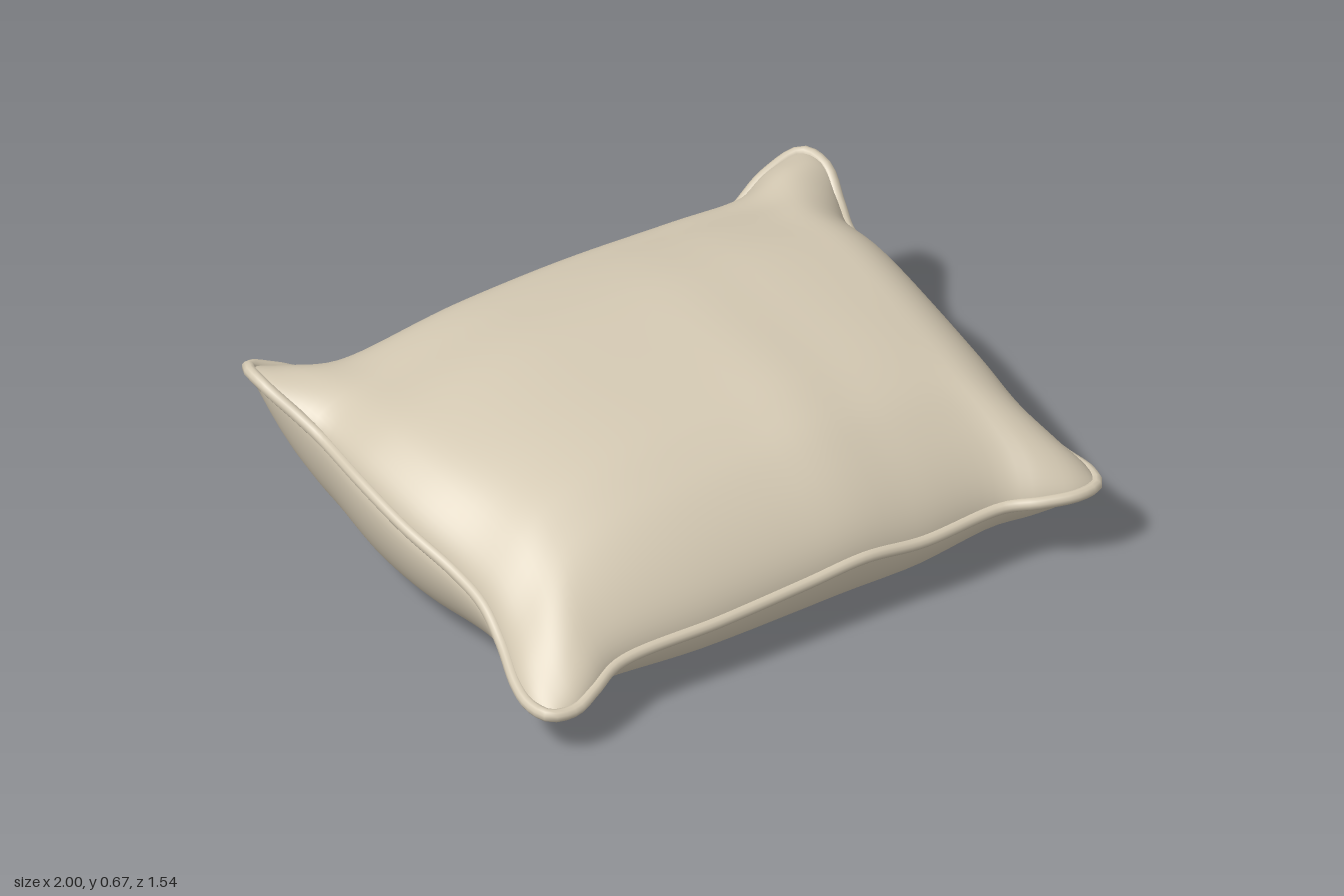
import * as THREE from 'three';

const V = (p) => new THREE.Vector3(...p);

// Seam control points, each side beginning at its corner, going round the cushion
const sides = [
  // back, from -x to +x
  [[-0.97, 0.57, -0.71], [-0.87, 0.525, -0.72], [-0.7, 0.45, -0.70], [-0.3, 0.44, -0.715], [0, 0.44, -0.72],
    [0.4, 0.44, -0.72], [0.69, 0.465, -0.72], [0.84, 0.54, -0.745]],
  // left (+x), from back to front
  [[0.96, 0.58, -0.735], [0.983, 0.57, -0.65], [0.96, 0.505, -0.55], [0.92, 0.475, -0.43], [0.935, 0.44, -0.25],
    [0.935, 0.385, 0], [0.925, 0.335, 0.25], [0.92, 0.29, 0.45], [0.955, 0.25, 0.58], [0.975, 0.235, 0.67]],
  // front, from +x to -x
  [[0.955, 0.23, 0.735], [0.88, 0.23, 0.752], [0.78, 0.225, 0.72], [0.68, 0.215, 0.665], [0.4, 0.205, 0.67],
    [0.2, 0.225, 0.67], [0, 0.21, 0.67], [-0.3, 0.195, 0.675], [-0.66, 0.185, 0.68], [-0.78, 0.16, 0.73], [-0.86, 0.14, 0.755]],
  // right (-x), from front to back
  [[-0.935, 0.14, 0.74], [-0.955, 0.145, 0.67], [-0.945, 0.165, 0.59], [-0.9, 0.22, 0.45], [-0.88, 0.28, 0.33],
    [-0.885, 0.32, 0.2], [-0.92, 0.38, 0], [-0.93, 0.43, -0.2], [-0.92, 0.465, -0.42], [-0.94, 0.5, -0.5], [-0.98, 0.56, -0.62]],
];

const seam = new THREE.CatmullRomCurve3(sides.flat().map(V), true);

// One arc-length curve per side, lying exactly on the closed seam
function sideCurves() {
  const total = sides.flat().length;
  let start = 0;
  return sides.map((side) => {
    const pts = [];
    for (let k = 0; k <= 80; k++) pts.push(seam.getPoint(((start + (k / 80) * side.length) / total) % 1));
    start += side.length;
    return new THREE.CatmullRomCurve3(pts);
  });
}

const N = 56;
// Grid parameter, denser near the seam
const spaced = (i) => (1 - Math.cos((Math.PI * i) / N)) / 2;
const dome = (t, p) => Math.pow(Math.max(0, 1 - Math.pow(Math.abs(t), p)), 0.68);

// Patch spanning the seam, then puffed by a rule
function panel(edges, puff, flip) {
  const [back, left, front, right] = edges.map((c, e) =>
    Array.from({ length: N + 1 }, (_, i) => c.getPointAt(spaced(e < 2 ? i : N - i))));
  const pos = [], index = [];
  for (let j = 0; j <= N; j++) {
    for (let i = 0; i <= N; i++) {
      const s = spaced(i), t = spaced(j);
      const p = new THREE.Vector3()
        .addScaledVector(back[i], 1 - t).addScaledVector(front[i], t)
        .addScaledVector(right[j], 1 - s).addScaledVector(left[j], s)
        .addScaledVector(back[0], -(1 - s) * (1 - t)).addScaledVector(back[N], -s * (1 - t))
        .addScaledVector(front[0], -(1 - s) * t).addScaledVector(front[N], -s * t);
      puff(p, 2 * s - 1, 2 * t - 1);
      pos.push(p.x, p.y, p.z);
      if (i < N && j < N) {
        const a = j * (N + 1) + i, b = a + N + 1;
        if (flip) index.push(a, a + 1, b, a + 1, b + 1, b);
        else index.push(a, b, a + 1, a + 1, b, b + 1);
      }
    }
  }
  const g = new THREE.BufferGeometry();
  g.setAttribute('position', new THREE.Float32BufferAttribute(pos, 3));
  g.setIndex(index);
  g.computeVertexNormals();
  return g;
}

export function createModel() {
  const group = new THREE.Group();
  group.name = 'cushion';
  const fabric = new THREE.MeshStandardMaterial({ color: 0xd3c8b2, side: THREE.DoubleSide });
  fabric.name = 'beige fabric';
  const add = (name, geometry) => {
    const mesh = new THREE.Mesh(geometry, fabric);
    mesh.name = name;
    group.add(mesh);
  };
  const edges = sideCurves();

  // Upper panel: fuller at the front and its left, pinched at the back corners
  add('topPanel', panel(edges, (p, u, v) => {
    const pinch = v < 0 ? 1 - 0.4 * u * u * v * v : 1;
    p.y += (0.317 + 0.015 * u) * dome(u, u > 0 ? 4.3 : 3.6) * dome(v, v > 0 ? 4.2 : 3.3) * pinch;
  }, false));

  // Lower panel: settles on the floor with rounded corners, bulging below the back seam
  add('bottomPanel', panel(edges, (p, u, v) => {
    const a = Math.abs(u) ** 2.5, b = Math.abs(v) ** 2.5;
    const f = dome(a + b - a * b, 2.8);
    const bulge = (1 - f) * Math.sqrt(f);
    p.y *= 1 - f;
    if (v < 0) p.z -= 0.17 * bulge * (1 - u * u) * v * v;
    p.x += 0.06 * bulge * (1 - v * v) * u ** 3;
  }, true));

  // Piping along the seam
  add('piping', new THREE.TubeGeometry(seam, 260, 0.019, 10, true));
  return group;
}
